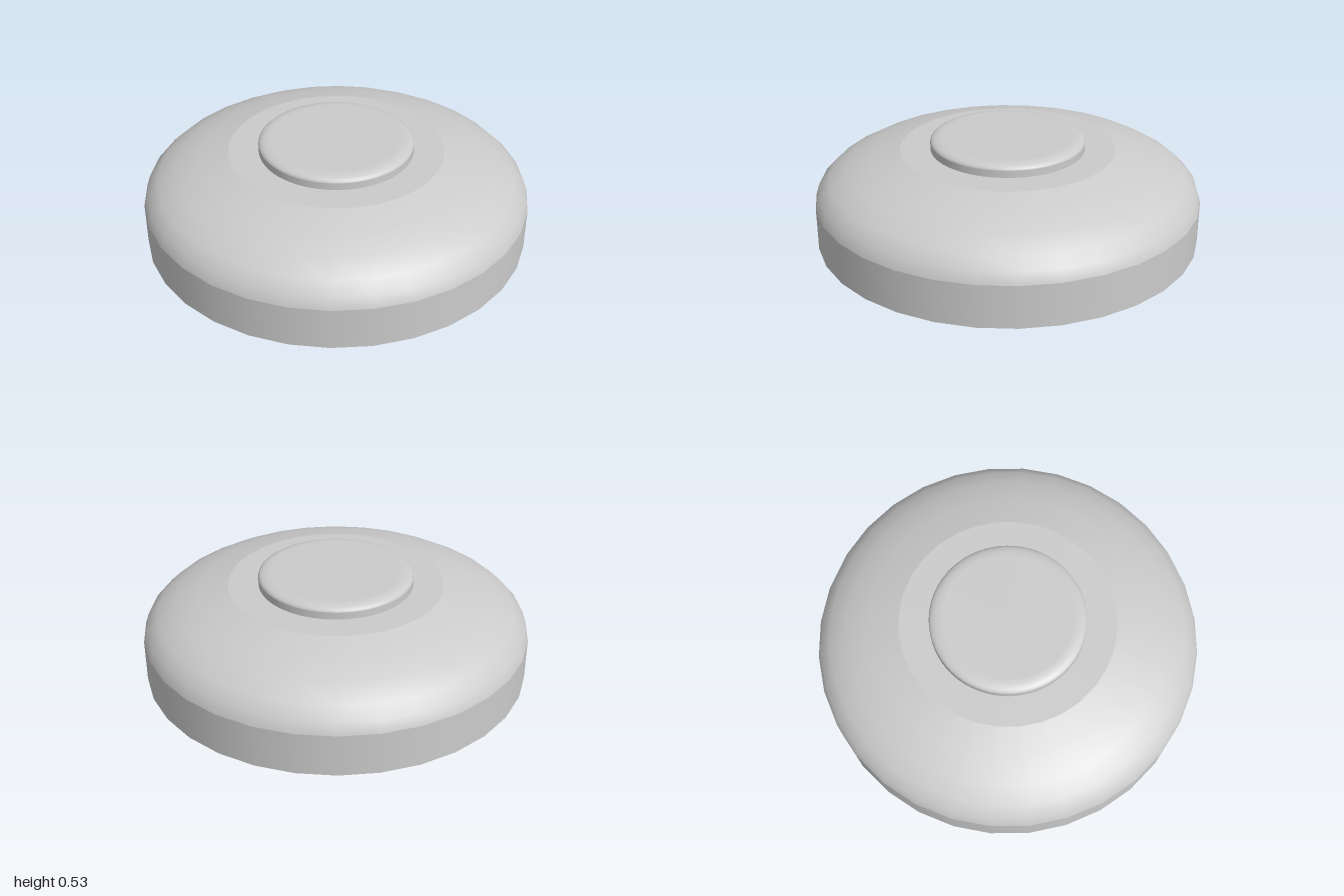
import * as THREE from 'three';

export function createModel() {
  const group = new THREE.Group();
  const material = new THREE.MeshStandardMaterial({ color: 0xcccccc });

  function add(name, geometry, y = 0) {
    const mesh = new THREE.Mesh(geometry, material);
    mesh.name = name;
    mesh.position.y = y;
    group.add(mesh);
  }
  const lathe = (points, sides) =>
    new THREE.LatheGeometry(points.map(([r, y]) => new THREE.Vector2(r, y)), sides);
  const disc = (radius, sides, facing) =>
    new THREE.CircleGeometry(radius, sides).rotateX(-facing * Math.PI / 2);

  const rimHeight = 0.22, domeRise = 0.3, step = Math.PI / 16;

  // Straight-sided base with a closed underside
  add('baseRim', new THREE.CylinderGeometry(1, 1, rimHeight, 32, 1, true), rimHeight / 2);
  add('underside', disc(1, 32, -1));

  // Squashed dome, cut flat near the top
  const dome = [];
  for (let i = 0; i <= 5; i++) {
    dome.push([Math.cos(i * step), rimHeight + domeRise * Math.sin(i * step)]);
  }
  add('dome', lathe(dome, 32));
  const [flatRadius, flatY] = dome[5];
  add('topFlat', disc(flatRadius, 32, 1), flatY);

  // Raised button with a rounded shoulder
  const shoulder = [];
  for (let i = 0; i <= 6; i++) {
    const a = i * Math.PI / 12;
    shoulder.push([0.335 + 0.064 * Math.cos(a), 0.507 + 0.026 * Math.sin(a)]);
  }
  add('buttonSide', lathe([[0.399, flatY], [0.399, 0.507]], 64));
  add('buttonShoulder', lathe(shoulder, 64));
  add('buttonTop', disc(0.335, 64, 1), 0.533);

  return group;
}
